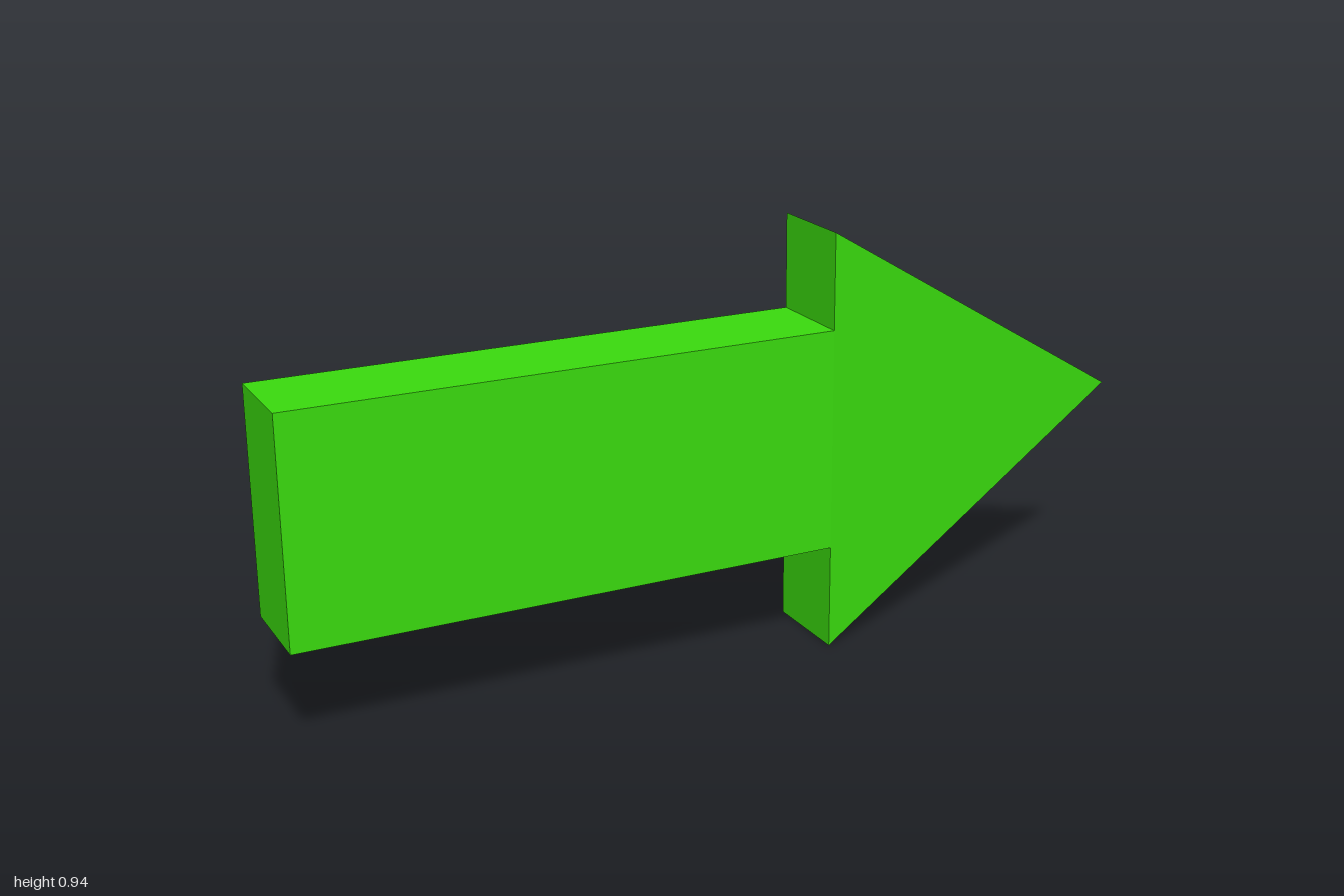
import * as THREE from 'three';

export function createModel() {
  const group = new THREE.Group();
  group.name = 'arrow';
  const material = new THREE.MeshStandardMaterial({ color: 0x3adb0e, flatShading: true });

  const depth = 0.21;
  const neckX = 0.205; // where the shaft meets the head
  const headHeight = 0.936;
  const headLength = 1 - neckX;

  const add = (name, geometry, x, y) => {
    const mesh = new THREE.Mesh(geometry, material);
    mesh.name = name;
    mesh.position.set(x, y, 0);
    group.add(mesh);
  };

  // Shaft: a flat rectangular bar
  const shaftLength = neckX + 1;
  add('shaft', new THREE.BoxGeometry(shaftLength, 0.492, depth), -1 + shaftLength / 2, 0.479);

  // Head: a four-sided pyramid on a unit square, stretched and laid with its tip along +x
  const head = new THREE.ConeGeometry(Math.SQRT1_2, 1, 4)
    .rotateY(Math.PI / 4)
    .scale(headHeight, headLength, depth)
    .rotateZ(-Math.PI / 2);
  add('head', head, neckX + headLength / 2, headHeight / 2);

  return group;
}
